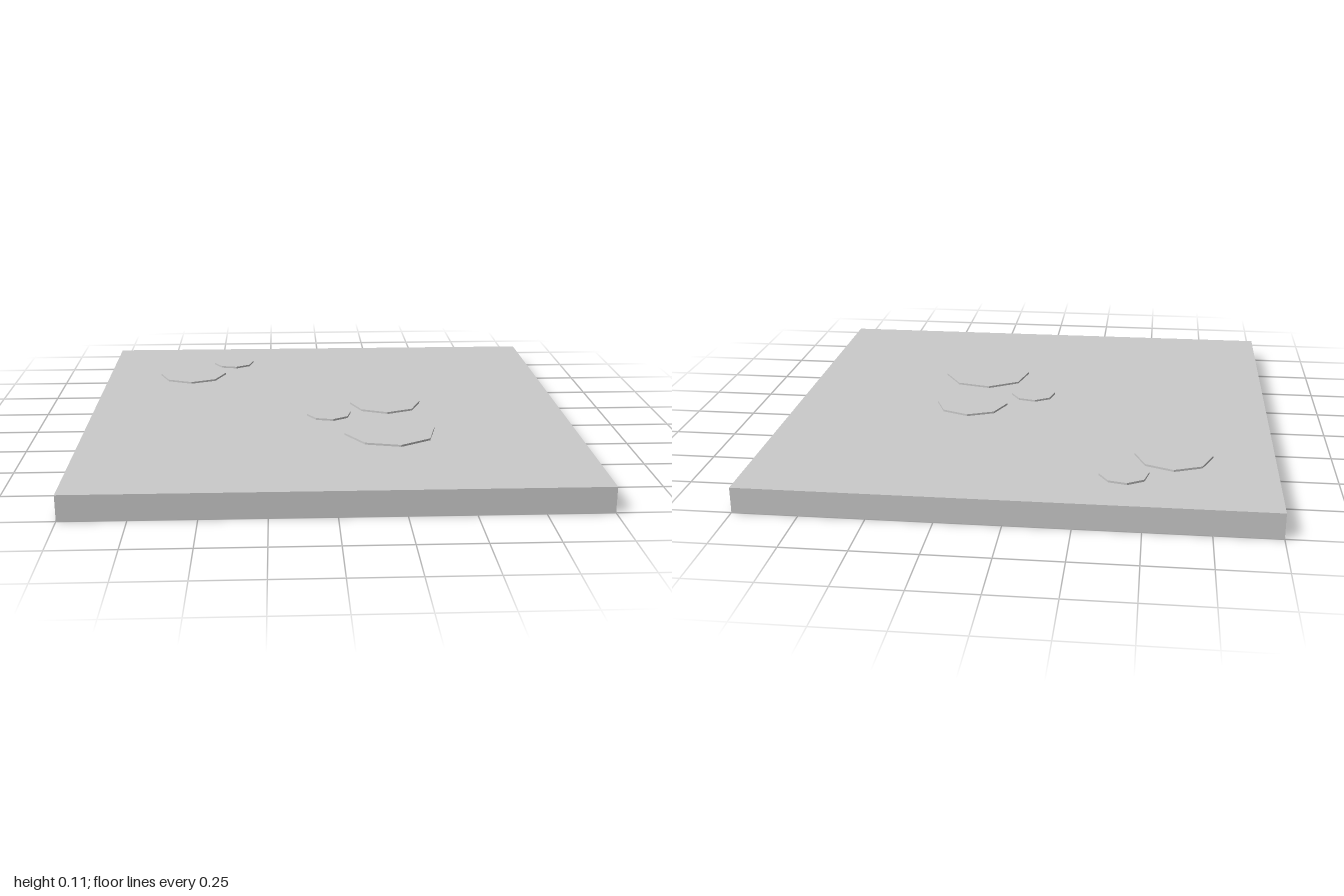
import * as THREE from 'three';

const TOP = 0.1;      // height of the flat ground
const RISE = 0.008;   // how far each stone stands above it
const SIDES = 8;
const TILT = THREE.MathUtils.degToRad(9);

// centre x, centre z, radius, turn
const STONES = [
  [-0.61, -0.53, 0.152, 0],
  [-0.425, -0.727, 0.095, TILT],
  [0.253, -0.037, 0.152, 0],
  [0.003, 0.107, 0.095, TILT],
  [0.24, 0.353, 0.188, TILT],
];

export function createModel() {
  const group = new THREE.Group();
  const material = new THREE.MeshStandardMaterial({
    color: 0xcccccc, flatShading: true, side: THREE.DoubleSide,
  });
  const add = (name, geometry, parent = group) => {
    const mesh = new THREE.Mesh(geometry, material);
    mesh.name = name;
    parent.add(mesh);
    return mesh;
  };

  // Thin ground sheet, cut out beneath every stone
  const ground = new THREE.Shape([
    new THREE.Vector2(-1, -1), new THREE.Vector2(1, -1),
    new THREE.Vector2(1, 1), new THREE.Vector2(-1, 1),
  ]);
  for (const [x, z, r, turn] of STONES) {
    const corners = [];
    for (let i = 0; i < SIDES; i++) {
      const a = turn - (i / SIDES) * Math.PI * 2;
      corners.push(new THREE.Vector2(x + r * Math.cos(a), -z + r * Math.sin(a)));
    }
    ground.holes.push(new THREE.Path(corners));
  }
  add('groundTop', new THREE.ShapeGeometry(ground).rotateX(-Math.PI / 2).translate(0, TOP, 0));

  // Four side walls, open underneath
  ['frontWall', 'leftWall', 'backWall', 'rightWall'].forEach((name, i) => {
    const wall = new THREE.PlaneGeometry(2, TOP).translate(0, TOP / 2, 1);
    add(name, wall.rotateY((i * Math.PI) / 2));
  });

  // Low octagonal stones, hollow from below
  const stones = new THREE.Group();
  stones.name = 'steppingStones';
  group.add(stones);
  STONES.forEach(([x, z, r, turn], i) => {
    const profile = [
      new THREE.Vector2(r, 0), new THREE.Vector2(r, RISE), new THREE.Vector2(0, RISE),
    ];
    const stone = add(`stone${i + 1}`, new THREE.LatheGeometry(profile, SIDES), stones);
    stone.position.set(x, TOP, z);
    stone.rotation.y = turn;
  });

  return group;
}
